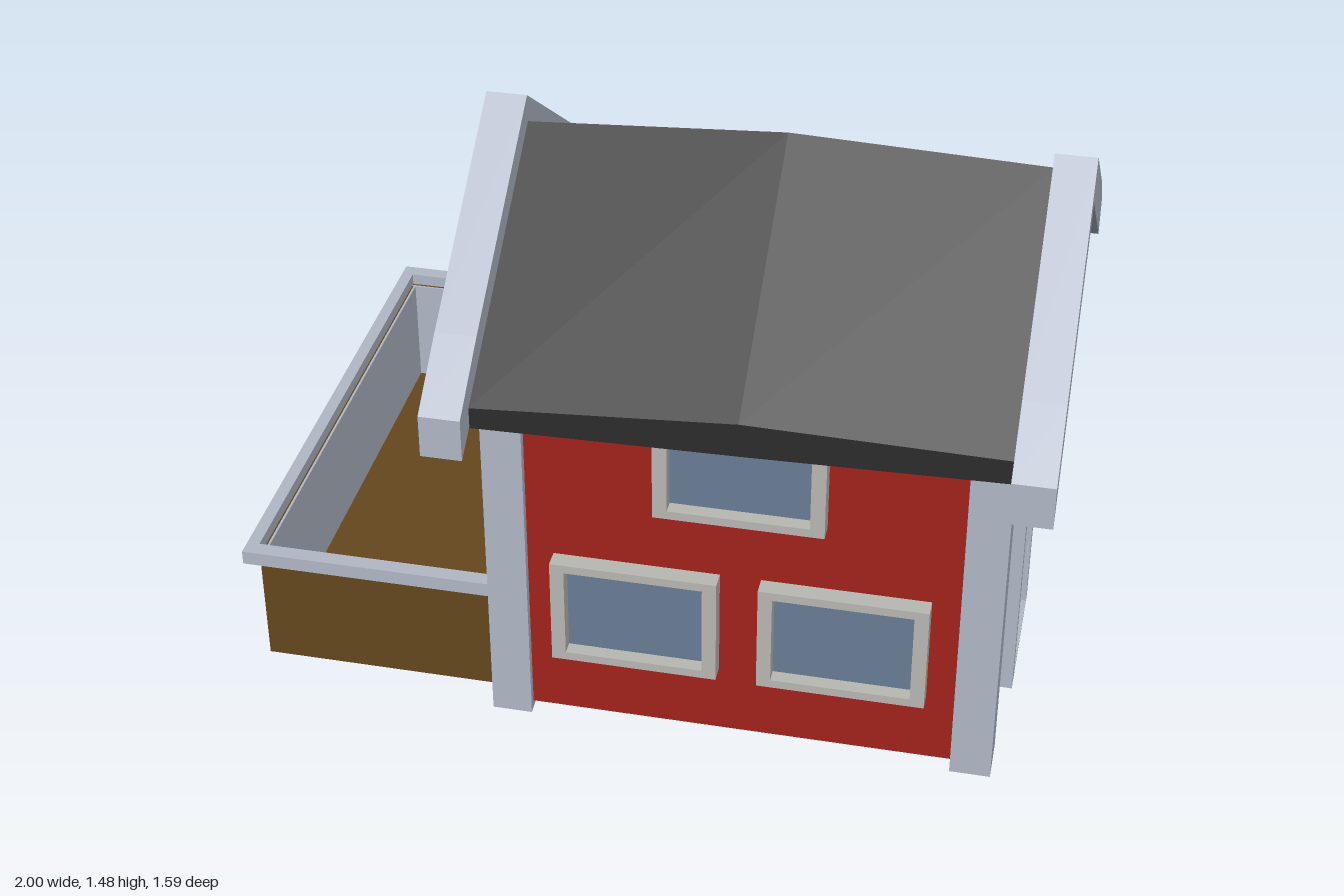
import * as THREE from 'three';

const mat = (color) => new THREE.MeshStandardMaterial({ color, flatShading: true });
const M = {
  red: mat(0xa3231c), trim: mat(0xb2b9c7), frame: mat(0xbab9b4), roof: mat(0x2c2c2c),
  door: mat(0x292929), glass: mat(0x6a7d96), brown: mat(0x66481d),
};
const RIDGE_Z = 0.13;

function mesh(name, geometry, material) {
  const m = new THREE.Mesh(geometry, material);
  m.name = name;
  return m;
}

// Box given by its minimum and maximum corners
function box(name, material, [x0, y0, z0], [x1, y1, z1]) {
  const g = new THREE.BoxGeometry(x1 - x0, y1 - y0, z1 - z0);
  g.translate((x0 + x1) / 2, (y0 + y1) / 2, (z0 + z1) / 2);
  return mesh(name, g, material);
}

const toShape = (pts) => new THREE.Shape(pts.map((p) => new THREE.Vector2(...p)));
const extrude = (shape, depth) => new THREE.ExtrudeGeometry(shape, { depth, bevelEnabled: false });

// Profile in (z, y) extruded along x
function alongX(name, material, pts, x0, x1) {
  const g = extrude(toShape(pts), x1 - x0);
  g.rotateY(-Math.PI / 2);
  g.translate(x1, 0, 0);
  return mesh(name, g, material);
}

// Flat ring standing on a wall, facing +z
function ring(name, material, outer, inner, depth) {
  const s = toShape(outer);
  s.holes.push(new THREE.Path(inner.map((p) => new THREE.Vector2(...p))));
  const g = extrude(s, depth);
  g.translate(0, 0, -0.01);
  return mesh(name, g, material);
}

const rect = (w, h, y = 0) => [[-w / 2, y - h / 2], [w / 2, y - h / 2], [w / 2, y + h / 2], [-w / 2, y + h / 2]];
const hexagon = (r) => Array.from({ length: 6 }, (_, i) =>
  [r * Math.cos(i * Math.PI / 3), 1.04 * r * Math.sin(i * Math.PI / 3)]);

function makeWindow(name, outer, inner) {
  const g = new THREE.Group();
  g.name = name;
  const pane = extrude(toShape(inner), 0.015);
  pane.translate(0, 0, -0.005);
  g.add(ring('windowFrame', M.frame, outer, inner, 0.055), mesh('windowGlass', pane, M.glass));
  return g;
}
const squareWindow = (name) => makeWindow(name, rect(0.41, 0.29), rect(0.34, 0.245));

function makeDoor(name) {
  const g = new THREE.Group();
  g.name = name;
  g.add(ring('doorFrame', M.trim, rect(0.39, 0.525, 0.2925), rect(0.31, 0.465, 0.2725), 0.05));
  g.add(box('doorLeaf', M.door, [-0.155, 0.04, -0.01], [0.155, 0.505, 0.015]));
  for (const s of [-1, 1]) {
    const x = s * 0.054;
    g.add(box('doorPane', M.glass, [x - 0.042, 0.34, 0.01], [x + 0.042, 0.45, 0.02]));
  }
  return g;
}

function place(obj, x, y, z, ry) {
  obj.position.set(x, y, z);
  obj.rotation.y = ry;
  return obj;
}

// Roof slab lofted through three sections, so its ridge bows slightly
function makeRoof() {
  const sections = [
    { x: -0.352, peak: 1.41, top: 0.975, low: 0.92 },
    { x: 0.28, peak: 1.45, top: 1.02, low: 0.932 },
    { x: 0.902, peak: 1.428, top: 1.01, low: 0.948 },
  ].map(({ x, peak, top, low }) => [
    [x, low, 0.72], [x, top, 0.72], [x, peak, RIDGE_Z],
    [x, top, -0.47], [x, low, -0.47], [x, peak - 0.07, RIDGE_Z],
  ]);
  const pos = [];
  const quad = (a, b, c, d) => pos.push(...a, ...b, ...c, ...a, ...c, ...d);
  for (let s = 0; s < 2; s++) {
    for (let i = 0; i < 6; i++) {
      const j = (i + 1) % 6, A = sections[s], B = sections[s + 1];
      quad(A[i], B[i], B[j], A[j]);
    }
  }
  const [L, , R] = sections;
  quad(L[0], L[1], L[2], L[5]);
  quad(L[5], L[2], L[3], L[4]);
  quad(R[0], R[5], R[2], R[1]);
  quad(R[5], R[4], R[3], R[2]);
  const g = new THREE.BufferGeometry();
  g.setAttribute('position', new THREE.Float32BufferAttribute(pos, 3));
  g.computeVertexNormals();
  return mesh('roof', g, M.roof);
}

// Sloping board along one gable
function makeBargeBoard(x0, x1, lift, drop) {
  return alongX('bargeBoard', M.trim, [
    [RIDGE_Z, 1.345], [0.79, 0.89 - drop], [0.79, 1.0 - drop], [0.63, 1.113],
    [RIDGE_Z, 1.465 + lift], [-0.37, 1.125], [-0.53, 0.985 - drop], [-0.53, 0.88 - drop],
  ].reverse(), x0, x1);
}

// Open terrace box with grey inner walls and a rim
function makeTerrace() {
  const g = new THREE.Group();
  g.name = 'terrace';
  const [x0, x1, z0, z1] = [-0.97, 0.185, -0.76, 0.56];
  const t = 0.006, y0 = 0.018, y1 = 0.335;
  g.add(box('terraceFloor', M.brown, [x0, y0, z0], [x1, 0.03, z1]));
  const wall = (a, b, c, d, dx, dz) => {
    g.add(box('terraceWall', M.brown, [a, y0, b], [c, y1, d]));
    g.add(box('terraceLining', M.trim, [a + dx, 0.03, b + dz], [c + dx, y1, d + dz]));
  };
  wall(x0, z0, x0 + t, z1, t, 0);
  wall(x0, z0, x1, z0 + t, 0, t);
  wall(x1 - t, z0, x1, -0.34, -t, 0);
  wall(x0, z1 - t, -0.32, z1, 0, -t);
  const rim = (a, b, c, d) => g.add(box('terraceRim', M.trim, [a, 0.33, b], [c, 0.367, d]));
  rim(-1, -0.8, -0.968, 0.6);
  rim(-0.968, -0.8, 0.21, -0.76);
  rim(0.18, -0.76, 0.21, -0.34);
  rim(-0.968, 0.56, -0.32, 0.6);
  return g;
}

export function createModel() {
  const house = new THREE.Group();
  house.name = 'house';

  // Walls with gables
  house.add(alongX('walls', M.red, [
    [-0.35, 0.022], [0.61, 0.022], [0.61, 1.01], [RIDGE_Z, 1.345], [-0.35, 1.0],
  ], -0.33, 0.88));

  // Corner posts, cut to the roof slope
  for (const [x0, x1] of [[-0.355, -0.255], [0.8, 0.9]]) {
    house.add(alongX('cornerPost', M.trim, [[0.53, 0.015], [0.63, 0], [0.63, 0.995], [0.53, 1.07]], x0, x1));
    house.add(alongX('cornerPost', M.trim, [[-0.37, 0.005], [-0.27, 0.015], [-0.27, 1.05], [-0.37, 0.98]], x0, x1));
  }

  house.add(makeRoof());
  house.add(makeBargeBoard(-0.45, -0.35, 0.015, 0.015), makeBargeBoard(0.9, 1, 0, 0));

  // Front and back windows
  for (const [x, y] of [[0.015, 0.355], [0.525, 0.355], [0.27, 0.825]])
    house.add(place(squareWindow('frontWindow'), x, y, 0.61, 0));
  for (const [x, y] of [[0.015, 0.825], [0.525, 0.825], [0.525, 0.355]])
    house.add(place(squareWindow('backWindow'), x, y, -0.35, Math.PI));

  // Gable doors and windows
  house.add(place(makeDoor('leftDoor'), 0.88, 0, RIDGE_Z, Math.PI / 2));
  house.add(place(makeDoor('terraceDoor'), -0.33, 0, RIDGE_Z, -Math.PI / 2));
  house.add(place(makeWindow('hexagonWindow', hexagon(0.138), hexagon(0.103)), 0.88, 0.945, RIDGE_Z, Math.PI / 2));
  house.add(place(squareWindow('terraceWindow'), -0.33, 0.825, RIDGE_Z, -Math.PI / 2));

  house.add(makeTerrace());
  return house;
}
